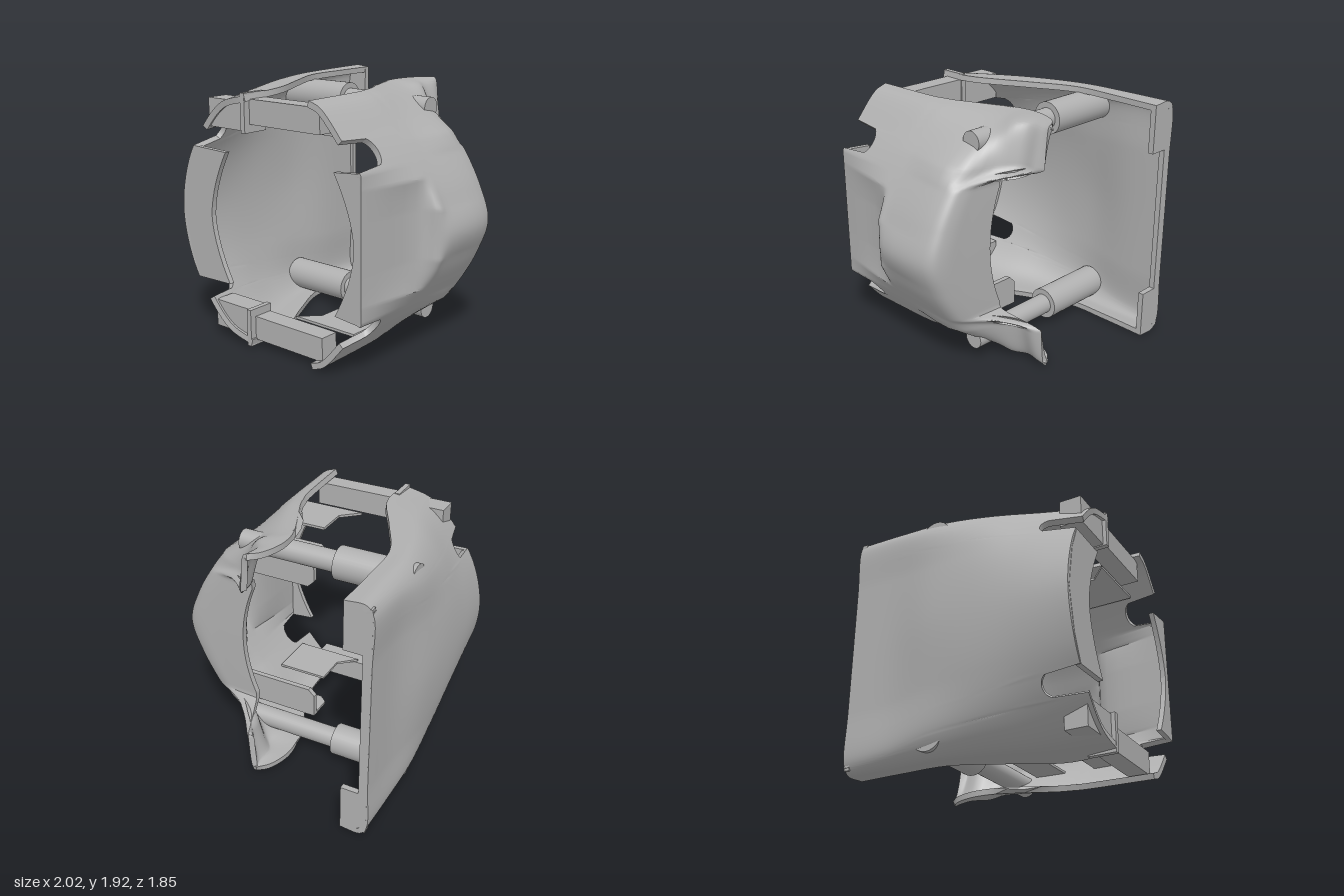
import * as THREE from 'three';
import { toCreasedNormals } from 'three/addons/utils/BufferGeometryUtils.js';

const MID = 0.95; // the model mirrors above and below this height
const V = (x, y, z = 0) => new THREE.Vector3(x, y, z);
const lerp = THREE.MathUtils.lerp;

// Mirror an upper half profile (ending on the middle) into a full top-to-bottom curve
function profile(pts, z = 0) {
  const upper = pts.map(([x, y]) => V(x, y, z));
  const lower = pts.slice(0, -1).reverse().map(([x, y]) => V(x, 2 * MID - y, z));
  return new THREE.CatmullRomCurve3([...upper, ...lower]);
}

// Closed shell of even thickness from a grid of outer points; du x dv points outward
function shell(grid, thickness) {
  const nu = grid.length - 1, nv = grid[0].length - 1;
  const inner = grid.map((col, i) => col.map((p, j) => {
    const du = grid[Math.min(i + 1, nu)][j].clone().sub(grid[Math.max(i - 1, 0)][j]);
    const dv = col[Math.min(j + 1, nv)].clone().sub(col[Math.max(j - 1, 0)]);
    return p.clone().addScaledVector(du.cross(dv).normalize(), -thickness);
  }));
  const pos = [];
  const quad = (a, b, c, d) => [a, b, c, a, c, d].forEach(p => pos.push(p.x, p.y, p.z));
  for (let i = 0; i < nu; i++) for (let j = 0; j < nv; j++) {
    quad(grid[i][j], grid[i + 1][j], grid[i + 1][j + 1], grid[i][j + 1]);
    quad(inner[i][j], inner[i][j + 1], inner[i + 1][j + 1], inner[i + 1][j]);
  }
  const rim = (i, j, k, l) => quad(grid[k][l], grid[i][j], inner[i][j], inner[k][l]);
  for (let i = 0; i < nu; i++) { rim(i, 0, i + 1, 0); rim(i + 1, nv, i, nv); }
  for (let j = 0; j < nv; j++) { rim(nu, j, nu, j + 1); rim(0, j + 1, 0, j); }
  const g = new THREE.BufferGeometry();
  g.setAttribute('position', new THREE.Float32BufferAttribute(pos, 3));
  return toCreasedNormals(g, 0.6);
}

// Front edge of a shell, cut by a round-ended slot
function frontEdge(y, centre, r, end) {
  const d = Math.abs(Math.abs(y - MID) - centre);
  return d < r ? end + r - Math.sqrt(r * r - d * d) : 0.92;
}

// Wide half: boxy at the back, rounding toward the front
function wideShell() {
  const sections = [
    [[-0.66, 1.9], [-0.82, 1.9], [-0.87, 1.83], [-0.87, 1.45], [-0.87, MID]],
    [[-0.66, 1.9], [-0.8, 1.9], [-0.88, 1.82], [-0.885, 1.45], [-0.89, MID]],
    [[-0.64, 1.9], [-0.79, 1.89], [-0.9, 1.76], [-0.94, 1.42], [-0.97, MID]],
    [[-0.47, 1.9], [-0.7, 1.88], [-0.86, 1.72], [-0.96, 1.4], [-1, MID]],
    [[-0.29, 1.9], [-0.58, 1.86], [-0.79, 1.66], [-0.94, 1.35], [-1, MID]],
    [[-0.28, 1.88], [-0.52, 1.81], [-0.72, 1.62], [-0.9, 1.33], [-0.98, MID]],
  ].map((pts, k) => profile(pts, -0.93 + 0.37 * k));
  const grid = [], nu = 140, nv = 28;
  for (let i = 0; i <= nu; i++) {
    const pts = sections.map(c => c.getPoint(i / nu));
    const path = new THREE.CatmullRomCurve3(pts, false, 'catmullrom', 0.5);
    const end = (frontEdge(pts[5].y, 0.59, 0.07, 0.64) + 0.93) / 1.85;
    grid.push(Array.from({ length: nv + 1 }, (_, j) => path.getPoint(end * j / nv)));
  }
  return shell(grid, 0.045);
}

// Bulged half: side columns turn inward at the back, top and bottom run on into lobes
function bulgedShell() {
  const base = profile([[0.33, 1.9], [0.43, 1.86], [0.6, 1.68], [0.77, 1.46], [0.92, 1.2], [1, MID]]);
  const lobeZ = [0.92, 0.36, 0.28, 0.2, -0.25, -0.4, -0.52, -0.63, -0.69];
  const lobeEdge = [0.33, 0.3, 0.28, 0.26, 0.07, 0.05, 0.07, 0.12, 0.19];
  const lobeOut = [0, 0, 0, 0, 0, 0.42, 0.31, 0.3, 0.25];
  const sideZ = [0.92, 0.36, 0.28, 0.2, -0.25, -0.32, -0.35, -0.36, -0.37];
  const cap = [0.77, 0.84, 0.95];
  const grid = [], nu = 140, nv = 36;
  for (let i = 0; i <= nu; i++) {
    const { x: X, y } = base.getPoint(i / nu);
    const d = Math.abs(y - MID);
    const w = THREE.MathUtils.smoothstep(d, 0.5, 0.64);
    const a = THREE.MathUtils.clamp((X - 0.33) / 0.35, 0, 1);
    const ring = 0.46 - 0.1 * Math.min(1, (d / 0.47) ** 2);
    const back = [X, X - 0.04, X - 0.12, lerp(X, ring, 0.55), ring];
    const path = new THREE.CatmullRomCurve3(lobeZ.map((lz, k) => {
      const sx = k < 4 ? Math.min(X, cap[k] ?? X) : back[k - 4];
      const lx = k < 5 ? Math.min(X, cap[k] ?? X) + (lobeEdge[k] - 0.33) * (1 - a)
        : lerp(lobeEdge[k], lobeOut[k], a ** 0.4);
      const z = k ? lerp(sideZ[k], lz, w) : frontEdge(y, 0.62, 0.09, 0.64);
      return V(lerp(sx, lx, w), y, z);
    }));
    grid.push(Array.from({ length: nv + 1 }, (_, j) => path.getPoint(j / nv)));
  }
  return shell(grid, 0.045);
}

export function createModel() {
  const model = new THREE.Group();
  model.name = 'splitShellClamp';
  const grey = new THREE.MeshStandardMaterial({ color: 0xb0b0b0 });
  grey.name = 'plain grey';

  const add = (name, geometry) => {
    const mesh = new THREE.Mesh(geometry, grey);
    mesh.name = name;
    model.add(mesh);
    return mesh;
  };
  // Box from its lower and upper limits
  const box = (name, x0, x1, y0, y1, z0, z1) =>
    add(name, new THREE.BoxGeometry(x1 - x0, y1 - y0, z1 - z0))
      .position.set((x0 + x1) / 2, (y0 + y1) / 2, (z0 + z1) / 2);
  // The same box above and below the middle
  const boxPair = (name, x0, x1, y0, y1, z0, z1) => {
    box(name + 'Upper', x0, x1, y0, y1, z0, z1);
    box(name + 'Lower', x0, x1, 2 * MID - y1, 2 * MID - y0, z0, z1);
  };
  const plate = (pts, depth) => new THREE.ExtrudeGeometry(
    new THREE.Shape(pts.map(p => new THREE.Vector2(...p))), { depth, bevelEnabled: false });

  add('wideShell', wideShell());
  add('bulgedShell', bulgedShell());

  // Front walls with a curved inner edge
  const frontWall = (name, outer, tip, waist) => {
    const pts = [...outer];
    for (let i = 0; i <= 16; i++) {
      const t = -1 + i / 8;
      pts.push([lerp(waist, tip, Math.abs(t) ** 1.7), MID + t * 0.5]);
    }
    add(name, plate(pts, 0.04)).position.z = 0.88;
  };
  frontWall('wideFrontWall',
    [[-0.82, 1.46], [-0.9, 1.27], [-0.96, MID], [-0.9, 0.63], [-0.82, 0.44]], -0.49, -0.66);
  frontWall('bulgedFrontWall', [[0.76, 1.47], [0.76, 0.43]], 0.54, 0.71);

  // Back lip of the wide half and its corner flanges
  box('backLip', -0.865, -0.8, 0.04, 1.86, -0.93, -0.885);
  boxPair('cornerFlange', -0.86, -0.66, 1.53, 1.88, -0.93, -0.885);

  // Front bars sliding in brackets
  boxPair('frontBar', -0.3, 0.38, 1.67, 1.85, 0.72, 0.87);
  boxPair('frontBracket', -0.68, -0.3, 1.62, 1.83, 0.72, 0.89);
  boxPair('bracketCollar', -0.32, -0.28, 1.61, 1.895, 0.71, 0.92);

  for (const [side, s] of [['Upper', 1], ['Lower', -1]]) {
    // Rear rods sliding in sleeves
    for (const [name, r, x0, x1] of [['sleeve', 0.125, -0.87, -0.28], ['rod', 0.08, -0.3, 0.5]]) {
      const mesh = add(name + side, new THREE.CylinderGeometry(r, r, x1 - x0, 32));
      mesh.rotation.z = Math.PI / 2;
      mesh.position.set((x0 + x1) / 2, MID + s * 0.785, -0.225);
    }
    // Upright tab beside each rod, clipped at its free corner
    const tab = [[-0.03, 0.71], [-0.03, 0.52], [0.02, 0.47], [0.6, 0.47], [0.55, 0.71]];
    add('tab' + side, plate(tab.map(([x, y]) => [x, MID + s * y]), 0.04)).position.z = -0.14;
    // Flat shelves along the bulged half
    const shelves = [
      ['tabShelf', [[-0.03, -0.14], [0.55, -0.14], [0.55, 0.1], [0.03, 0.1], [-0.03, 0.05]]],
      ['barShelf', [[0, 0.73], [0.14, 0.6], [0.14, 0.35], [0.55, 0.35], [0.55, 0.73]]],
    ];
    for (const [name, pts] of shelves) {
      const mesh = add(name + side, plate(pts, 0.02));
      mesh.rotation.x = Math.PI / 2;
      mesh.position.y = MID + s * 0.7 + 0.01;
    }
  }

  // Small contact ribs inside the bulged half
  for (let i = 0; i < 4; i++)
    box('contactRib' + (i + 1), 0.53, 0.68, 0.82 + i * 0.07, 0.86 + i * 0.07, -0.33, -0.2);
  box('contactBase', 0.53, 0.7, 0.81, 1.1, -0.34, -0.28);

  return model;
}
